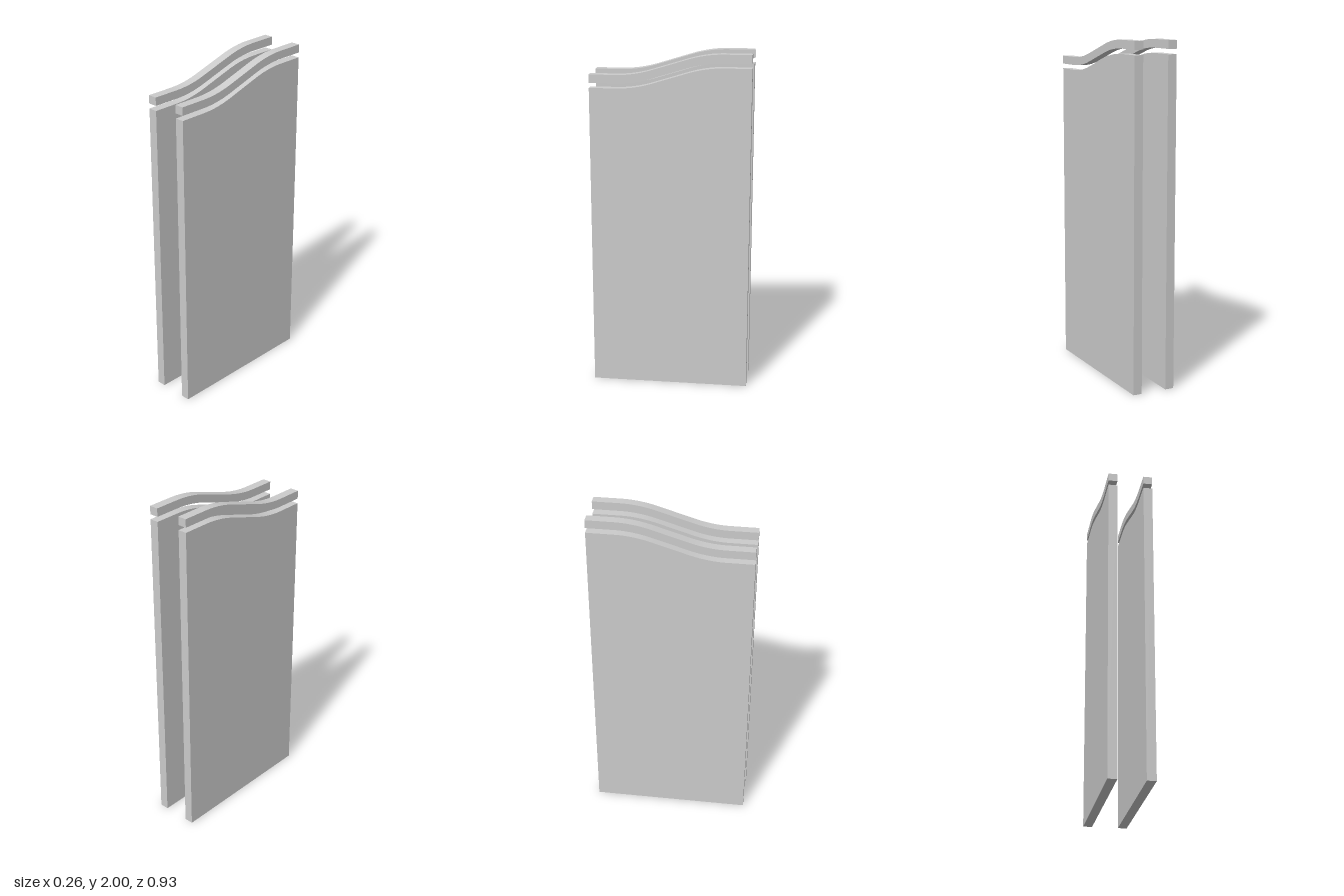
import * as THREE from 'three';

const HALF_Z = 0.463, THICK = 0.053, OFFSET_X = 0.104;
const FLAT_Z = 0.31, RISE = 0.127;
const SEGMENTS = 32;

// Height of the swept top line above its low front end: flat, S-curve, flat
function sweep(z) {
  const t = THREE.MathUtils.clamp((FLAT_Z - z) / (2 * FLAT_Z), 0, 1);
  // two arcs joined by a straight run
  const a = 0.34, k = 1 / (1 - a);
  if (t < a) return RISE * k * t * t / (2 * a);
  if (t > 1 - a) return RISE * (1 - k * (1 - t) * (1 - t) / (2 * a));
  return RISE * k * (t - a / 2);
}

// Points of the swept line at a given base height; shape x runs along -z
function sweptLine(base) {
  const points = [new THREE.Vector2(-HALF_Z, base + sweep(HALF_Z))];
  for (let i = 0; i <= SEGMENTS; i++) {
    const s = -FLAT_Z + 2 * FLAT_Z * i / SEGMENTS;
    points.push(new THREE.Vector2(s, base + sweep(-s)));
  }
  points.push(new THREE.Vector2(HALF_Z, base + RISE));
  return points;
}

// Slab between a lower and an upper outline, standing in the yz plane
function slab(name, lower, upper, material) {
  const shape = new THREE.Shape([...lower, ...upper.reverse()]);
  const geometry = new THREE.ExtrudeGeometry(shape, { depth: THICK, bevelEnabled: false });
  geometry.translate(0, 0, -THICK / 2);
  geometry.rotateY(Math.PI / 2);
  const mesh = new THREE.Mesh(geometry, material);
  mesh.name = name;
  return mesh;
}

export function createModel() {
  const model = new THREE.Group();
  model.name = 'sidePanels';
  const material = new THREE.MeshStandardMaterial({ color: 0xcccccc });

  for (const side of [1, -1]) {
    const group = new THREE.Group();
    group.name = side > 0 ? 'leftSide' : 'rightSide';
    group.position.x = side * OFFSET_X;

    // Tall board with a swept top edge
    const floor = [new THREE.Vector2(-HALF_Z, 0), new THREE.Vector2(HALF_Z, 0)];
    group.add(slab('panel', floor, sweptLine(1.796), material));

    // Cap rail following the same sweep above a narrow gap
    group.add(slab('capRail', sweptLine(1.825), sweptLine(1.873), material));
    model.add(group);
  }
  return model;
}
